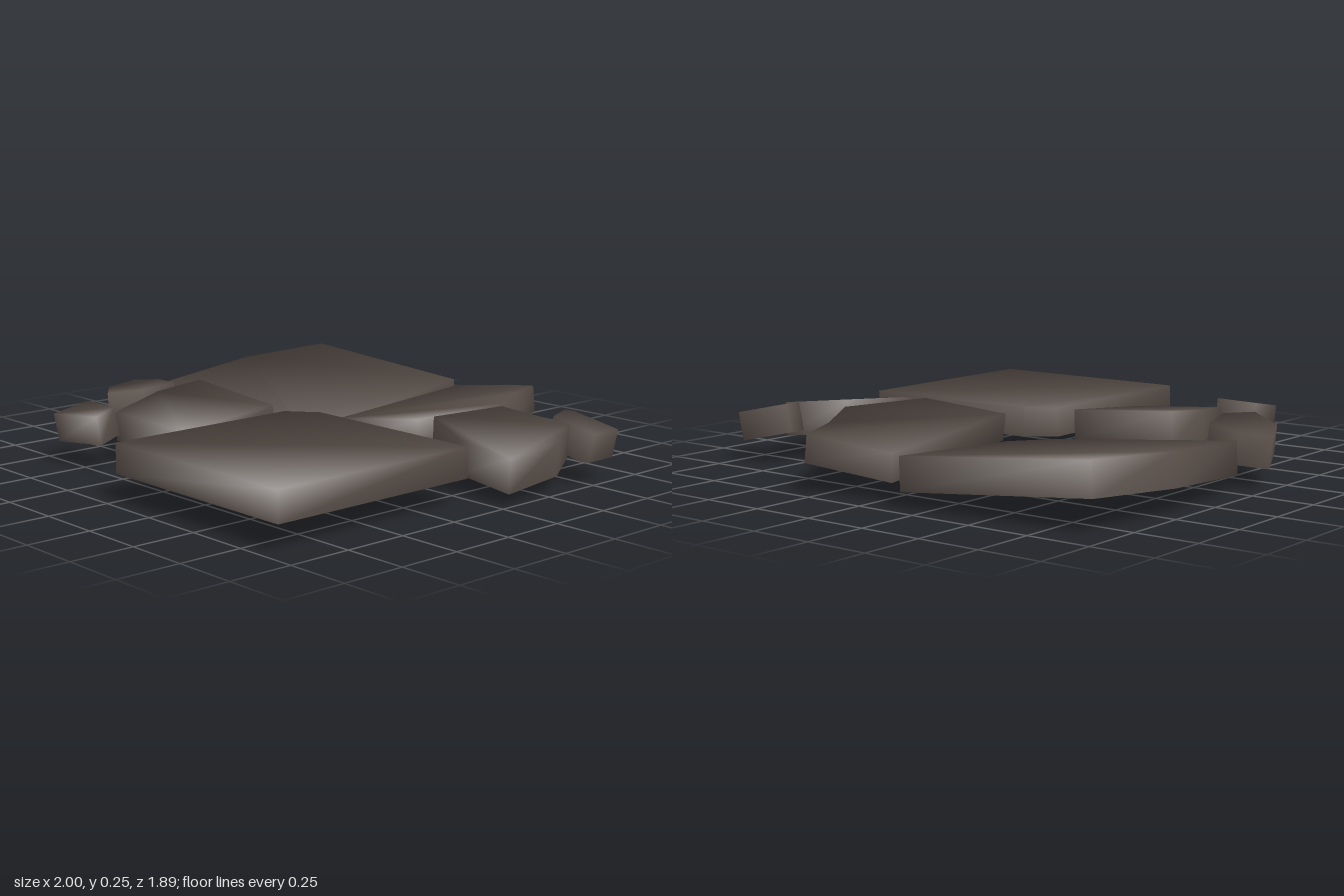
import * as THREE from 'three';

const stone = new THREE.MeshStandardMaterial({ color: 0x574d47, side: THREE.DoubleSide });
stone.name = 'dark stone';

// Each slab: name, outline as [x, z] running clockwise seen from above, thickness,
// and its tilted mid-plane: height `y` at the first corner, slopes along x and z.
const SLABS = [
  { name: 'frontSlab', t: 0.116, y: 0.153, sx: 0, sz: 0,
    outline: [[-0.02, 0.14], [0.09, 0.05], [0.873, 0.05], [0.873, 0.943], [-0.02, 0.943]] },
  { name: 'backLeftSlab', t: 0.127, y: 0.182, sx: -0.088, sz: -0.067,
    outline: [[-0.91, -0.86], [-0.13, -0.93], [-0.04, -0.22], [-0.16, -0.05], [-0.91, 0.04], [-0.97, -0.46]] },
  { name: 'backMiddleSlab', t: 0.11, y: 0.12, sx: 0.115, sz: -0.01,
    outline: [[-0.045, -0.87], [0.315, -0.945], [0.395, -0.75], [0.55, -0.5], [0.5, -0.08], [0.148, 0]] },
  { name: 'rightSlab', t: 0.135, y: 0.185, sx: -0.125, sz: -0.09,
    outline: [[0.605, -0.42], [0.895, -0.475], [0.985, -0.31], [0.985, -0.05], [0.74, -0.045], [0.515, -0.14]] },
  { name: 'rightPebble', t: 0.115, y: 0.184, sx: -0.22, sz: 0,
    outline: [[0.765, -0.59], [0.79, -0.615], [0.985, -0.64], [0.985, -0.5], [0.955, -0.475], [0.795, -0.49]] },
  { name: 'leftStone', t: 0.12, y: 0.133, sx: 0.1, sz: 0,
    outline: [[-0.992, 0.14], [-0.88, 0.09], [-0.72, 0.14], [-0.655, 0.34], [-0.715, 0.48], [-0.89, 0.35]] },
  { name: 'leftSlab', t: 0.12, y: 0.192, sx: -0.078, sz: -0.09,
    outline: [[-0.58, 0.115], [-0.12, 0.11], [-0.115, 0.555], [-0.49, 0.605], [-0.58, 0.33]] },
  { name: 'leftPebble', t: 0.115, y: 0.17, sx: 0.02, sz: -0.18,
    outline: [[-0.63, 0.63], [-0.45, 0.63], [-0.415, 0.74], [-0.63, 0.79]] },
];

// Tilted slab with a top and walls, open underneath, with smooth shared normals
function slabGeometry({ outline, t, y, sx, sz }) {
  const n = outline.length;
  const up = new THREE.Vector3(-sx, 1, -sz).normalize();
  const [x0, z0] = outline[0];
  const mid = outline.map(([x, z]) => new THREE.Vector3(x, y + sx * (x - x0) + sz * (z - z0), z));
  const walls = mid.map((p, i) => up.clone().cross(mid[(i + 1) % n].clone().sub(p)).normalize());

  const positions = [], normals = [], index = [];
  for (const side of [1, -1]) {
    mid.forEach((p, i) => {
      const normal = walls[i].clone().addScaledVector(walls[(i + n - 1) % n], 2);
      if (side > 0) normal.addScaledVector(up, 1.5);
      positions.push(...p.clone().addScaledVector(up, side * t / 2).toArray());
      normals.push(...normal.normalize().toArray());
    });
  }
  // Top
  const flat = outline.map(([x, z]) => new THREE.Vector2(x, -z));
  for (const [a, b, c] of THREE.ShapeUtils.triangulateShape(flat, [])) {
    const ccw = THREE.ShapeUtils.area([flat[a], flat[b], flat[c]]) > 0;
    index.push(a, ...(ccw ? [b, c] : [c, b]));
  }
  // Walls
  for (let i = 0; i < n; i++) {
    const j = (i + 1) % n;
    index.push(i, j, j + n, i, j + n, i + n);
  }
  const geometry = new THREE.BufferGeometry();
  geometry.setAttribute('position', new THREE.Float32BufferAttribute(positions, 3));
  geometry.setAttribute('normal', new THREE.Float32BufferAttribute(normals, 3));
  geometry.setIndex(index);
  return geometry;
}

export function createModel() {
  const group = new THREE.Group();
  group.name = 'pavingStones';
  for (const slab of SLABS) {
    const mesh = new THREE.Mesh(slabGeometry(slab), stone);
    mesh.name = slab.name;
    group.add(mesh);
  }
  return group;
}
